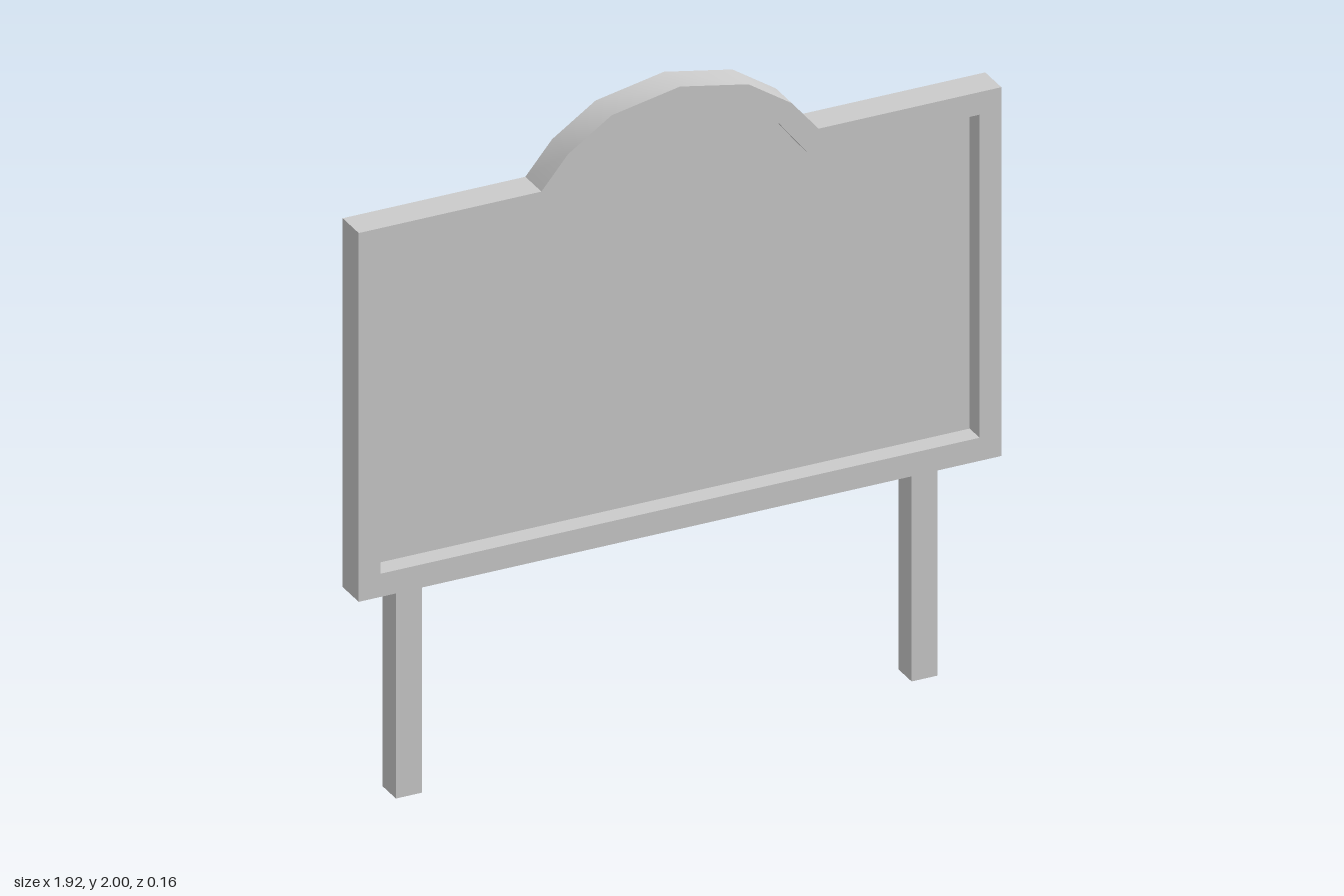
import * as THREE from 'three';
import { toCreasedNormals } from 'three/addons/utils/BufferGeometryUtils.js';

const material = new THREE.MeshStandardMaterial({ color: 0xcccccc });
const postMaterial = new THREE.MeshStandardMaterial({ color: 0xcccccc, side: THREE.DoubleSide });

// Rectangle topped by a faceted arch; arch lists the right half, from shoulder to crown
function outline(halfWidth, bottom, top, arch) {
  const right = [[halfWidth, bottom], [halfWidth, top], ...arch];
  const left = right.slice(0, -1).reverse().map(([x, y]) => [-x, y]);
  return [...right, ...left].map(([x, y]) => new THREE.Vector2(x, y));
}

function slab(name, shape, back, depth) {
  const geometry = new THREE.ExtrudeGeometry(shape, { depth, bevelEnabled: false });
  geometry.translate(0, 0, back);
  const mesh = new THREE.Mesh(toCreasedNormals(geometry, THREE.MathUtils.degToRad(30)), material);
  mesh.name = name;
  return mesh;
}

export function createModel() {
  const group = new THREE.Group();
  group.name = 'signBoard';

  const outer = outline(0.962, 0.665, 1.778, [[0.415, 1.778], [0.335, 1.873], [0.205, 1.96], [0, 2]]);
  const inner = outline(0.897, 0.735, 1.71, [[0.385, 1.71], [0.297, 1.82], [0.18, 1.898], [0, 1.933]]);

  // Raised frame around the recessed panel, flush with it at the back
  const frameShape = new THREE.Shape(outer);
  frameShape.holes.push(new THREE.Path(inner));
  group.add(slab('frame', frameShape, -0.017, 0.097));
  group.add(slab('panel', new THREE.Shape(inner), -0.017, 0.037));

  // Square posts behind the board, open underneath
  const [width, height, depth] = [0.078, 1.572, 0.08];
  for (const side of [-1, 1]) {
    const geometry = new THREE.BoxGeometry(width, height, depth);
    // Drop the bottom face (fourth of the six, six indices each)
    const index = Array.from(geometry.index.array);
    index.splice(18, 6);
    geometry.setIndex(index);
    geometry.clearGroups();
    const post = new THREE.Mesh(geometry, postMaterial);
    post.name = side > 0 ? 'leftPost' : 'rightPost';
    post.position.set(side * 0.772, height / 2, -0.04);
    group.add(post);
  }
  return group;
}
